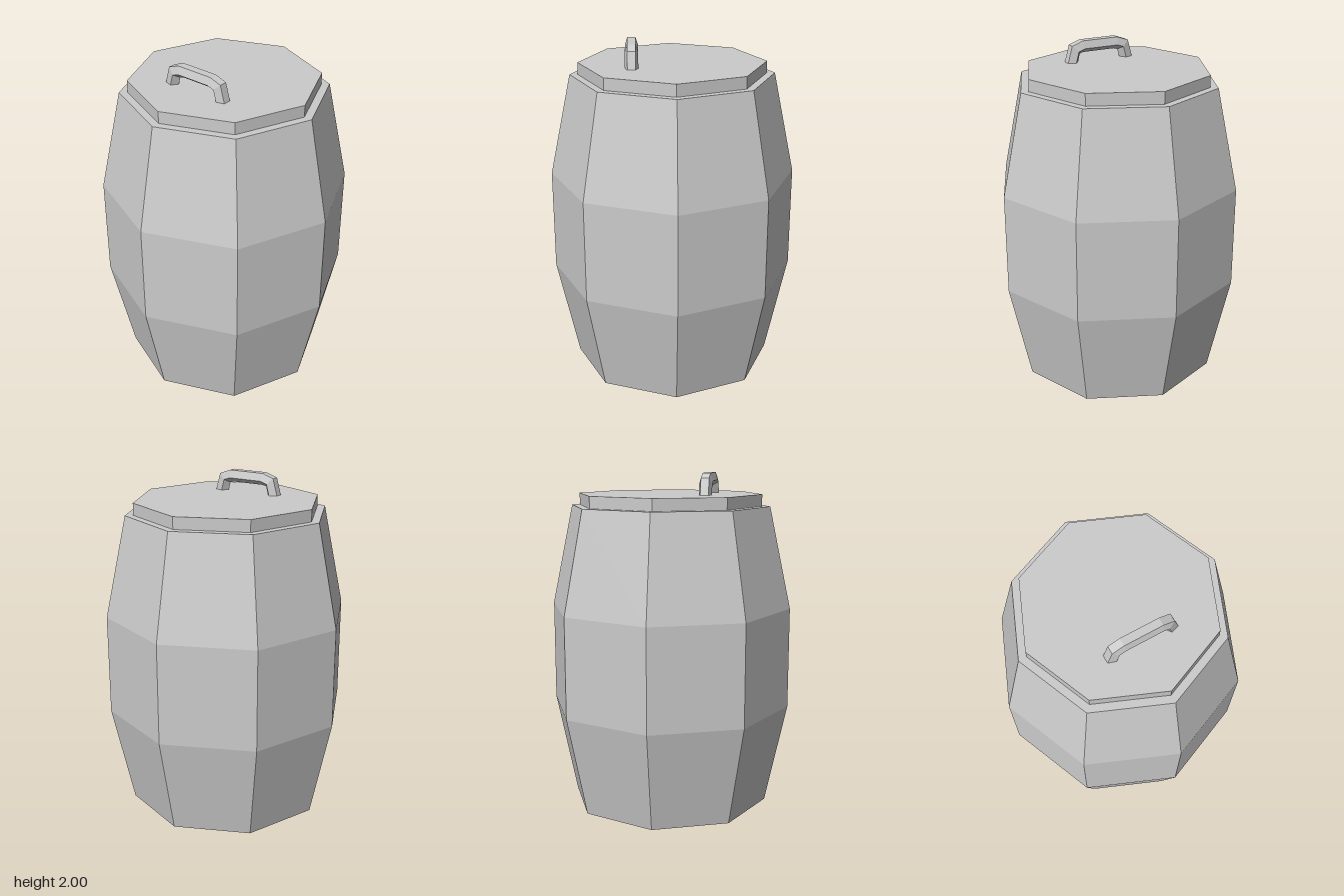
import * as THREE from 'three';

const SIDES = 8;
const material = new THREE.MeshStandardMaterial({ color: 0xcccccc, flatShading: true });

function addMesh(parent, name, geometry) {
  const mesh = new THREE.Mesh(geometry, material);
  mesh.name = name;
  parent.add(mesh);
  return mesh;
}

// Bent bar with a five-sided section, swept over mitred outer/inner path points
function handleGeometry() {
  // [outer x, outer y, inner x, inner y] for one half
  const half = [
    [0.215, 1.86, 0.14, 1.86],
    [0.183, 1.975, 0.124, 1.921],
    [0.114, 2.0, 0.101, 1.928],
  ];
  const path = [...half, ...half.slice().reverse().map(([a, b, c, d]) => [-a, b, -c, d])];
  // [depth from outer to inner, z offset]
  const section = [[0, 0.0235], [0.618, 0.038], [1, 0], [0.618, -0.038], [0, -0.0235]];
  const n = section.length;
  const positions = [];
  const index = [];
  for (const [ox, oy, ix, iy] of path) {
    for (const [t, z] of section) positions.push(ox + (ix - ox) * t, oy + (iy - oy) * t, z);
  }
  for (let i = 0; i < path.length - 1; i++) {
    for (let k = 0; k < n; k++) {
      const a = i * n + k, b = i * n + (k + 1) % n;
      index.push(a, a + n, b, b, a + n, b + n);
    }
  }
  const geometry = new THREE.BufferGeometry();
  geometry.setAttribute('position', new THREE.Float32BufferAttribute(positions, 3));
  geometry.setIndex(index);
  const flat = geometry.toNonIndexed();
  flat.computeVertexNormals();
  return flat;
}

export function createModel() {
  const model = new THREE.Group();
  model.name = 'barrel';

  // Octagonal body, closed at both ends
  const profile = [[0, 0], [0.598, 0], [0.727, 0.602], [0.727, 1.204], [0.598, 1.806], [0, 1.806]];
  addMesh(model, 'body', new THREE.LatheGeometry(profile.map(([r, y]) => new THREE.Vector2(r, y)), SIDES));

  // Lid
  const lid = addMesh(model, 'lid', new THREE.CylinderGeometry(0.55, 0.55, 0.07, SIDES));
  lid.position.y = 1.841;

  // Handle set towards the front of the lid
  const handle = addMesh(model, 'handle', handleGeometry());
  handle.position.z = 0.237;

  return model;
}
